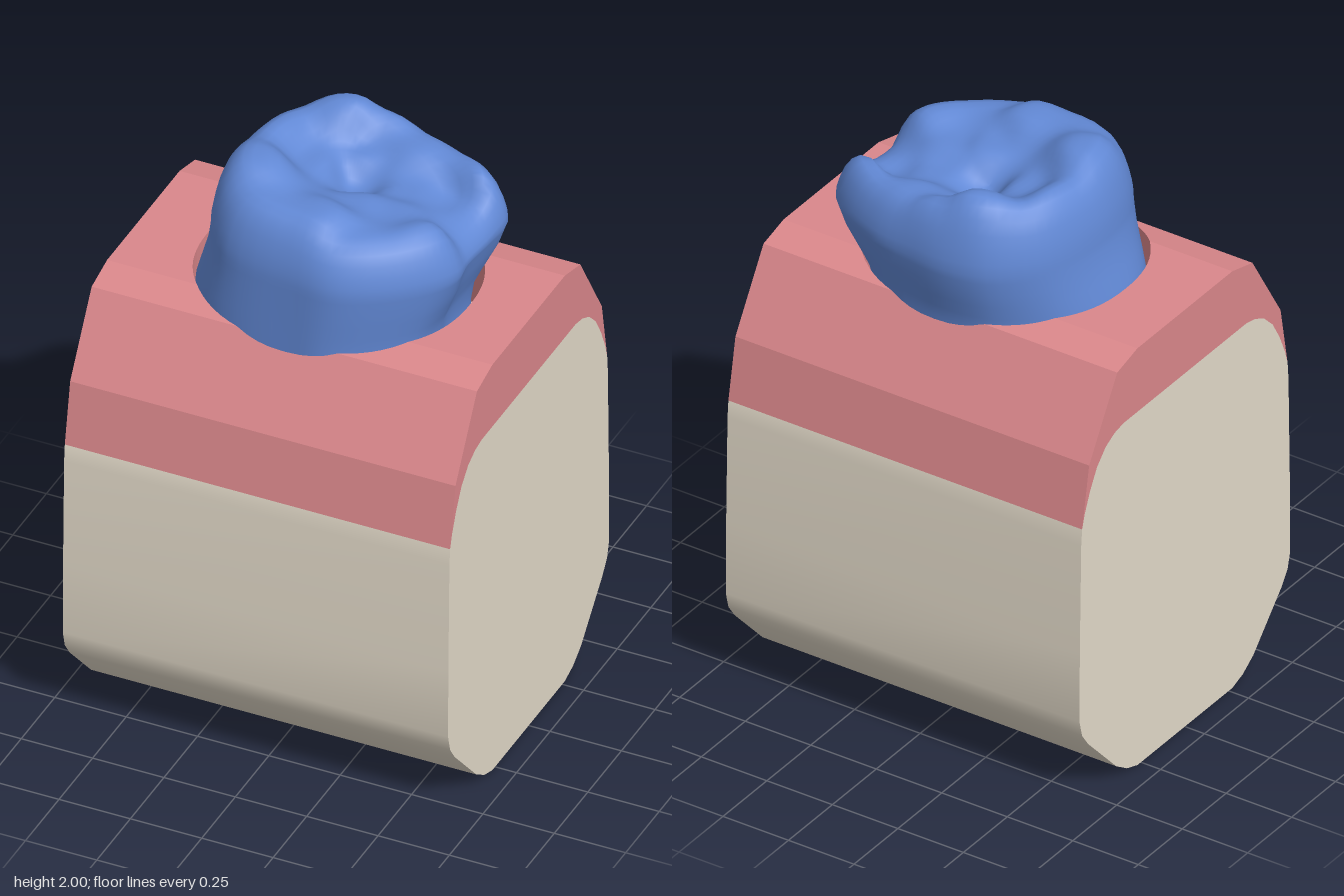
import * as THREE from 'three';
import { toCreasedNormals } from 'three/addons/utils/BufferGeometryUtils.js';

const HALF = 0.675; // half length of the jaw block along x
const TOP_GUM = [[0.585, 1.06], [0.545, 1.28], [0.385, 1.545], [0.27, 1.575]];
const BONE = [[0.27, 0], [0.33, 0.02], [0.39, 0.06], [0.55, 0.23], [0.585, 0.28], [0.6, 0.34], [0.598, 0.6],
  [0.59, 1.0], [0.585, 1.06], [0.57, 1.11], [0.54, 1.18], [0.5, 1.25], [0.45, 1.3], [0.4, 1.325], [0.35, 1.335]];

const mirror = (half) => [...half, ...half.map(([z, y]) => [-z, y]).reverse()];
const toShape = (pts) => new THREE.Shape(pts.map(([a, b]) => new THREE.Vector2(a, b)));

function mesh(name, geometry, material) {
  const m = new THREE.Mesh(geometry, material);
  m.name = name;
  return m;
}

// Socket opening in the gum: a rounded oval seen from above
const hole = { x: 0.01, rx: 0.46, rz: 0.405, p: 2.3 };
function holeHalfWidth(z) {
  const t = Math.min(1, Math.abs(z / hole.rz));
  return hole.rx * Math.pow(1 - Math.pow(t, hole.p), 1 / hole.p);
}

// Height of the gum surface at depth z
function gumHeight(z) {
  const a = Math.abs(z);
  for (let i = 0; i < 3; i++) {
    const [z0, y0] = TOP_GUM[i], [z1, y1] = TOP_GUM[i + 1];
    if (a >= z1) return y0 + (y1 - y0) * (z0 - a) / (z0 - z1);
  }
  return 1.575;
}

// Gum skin in strips from front to back, parted around the socket, plus the socket wall
function gumSkin() {
  const zs = mirror(TOP_GUM).map((p) => p[0]);
  for (let i = 0; i <= 40; i++) zs.push(hole.rz * Math.cos(Math.PI * i / 40));
  zs.sort((a, b) => b - a);
  const pos = [];
  const quad = (a, b, c, d) => pos.push(...a, ...b, ...c, ...a, ...c, ...d);
  for (let i = 0; i < zs.length - 1; i++) {
    const z0 = zs[i], z1 = zs[i + 1];
    if (z0 - z1 < 1e-5) continue;
    const y0 = gumHeight(z0), y1 = gumHeight(z1);
    const w0 = holeHalfWidth(z0), w1 = holeHalfWidth(z1);
    const l0 = hole.x - w0, l1 = hole.x - w1, r0 = hole.x + w0, r1 = hole.x + w1;
    quad([-HALF, y0, z0], [l0, y0, z0], [l1, y1, z1], [-HALF, y1, z1]);
    quad([r0, y0, z0], [HALF, y0, z0], [HALF, y1, z1], [r1, y1, z1]);
    if (w0 + w1 > 1e-6) {
      quad([l0, y0, z0], [l0, 1.3, z0], [l1, 1.3, z1], [l1, y1, z1]);
      quad([r0, 1.3, z0], [r0, y0, z0], [r1, y1, z1], [r1, 1.3, z1]);
    }
  }
  const g = new THREE.BufferGeometry();
  g.setAttribute('position', new THREE.Float32BufferAttribute(pos, 3));
  g.computeVertexNormals();
  return g;
}

// Tooth outlines from above (x, z), matching point for point
const CROWN = [[-0.385, 0.05], [-0.345, 0.2], [-0.23, 0.32], [0, 0.365], [0.15, 0.375], [0.28, 0.32], [0.42, 0.2],
  [0.475, 0.1], [0.465, 0], [0.48, -0.15], [0.485, -0.25], [0.43, -0.32], [0.25, -0.41], [0.1, -0.44],
  [-0.06, -0.455], [-0.2, -0.42], [-0.32, -0.3], [-0.375, -0.15]];
const NECK = [[-0.45, 0.05], [-0.4, 0.2], [-0.25, 0.32], [0, 0.365], [0.12, 0.37], [0.25, 0.31], [0.36, 0.2],
  [0.39, 0.08], [0.385, 0], [0.39, -0.12], [0.38, -0.2], [0.33, -0.27], [0.22, -0.35], [0.1, -0.38],
  [-0.06, -0.39], [-0.2, -0.36], [-0.35, -0.25], [-0.425, -0.12]];

// Cusps, ridges and pits of the chewing surface (x, z, height)
const RELIEF = [[-0.24, 0.08, 2.005], [-0.1, -0.33, 1.995], [-0.3, -0.15, 1.97], [0.02, -0.12, 1.8],
  [0.05, 0.2, 1.96], [0.1, 0.05, 1.9], [0.37, 0.13, 1.915], [0.22, 0.02, 1.88], [0.38, -0.28, 1.925],
  [0.33, -0.16, 1.82], [0.43, -0.05, 1.82], [0.15, -0.32, 1.91], [0.2, 0.28, 1.91], [-0.12, -0.1, 1.9],
  [-0.2, 0.28, 1.96], [0.2, -0.12, 1.85], [-0.01, -0.22, 1.88], [0.02, -0.42, 1.95]];
function crownHeight(x, z) {
  let sum = 0, total = 0;
  for (const [px, pz, h] of RELIEF) {
    const d = (x - px) ** 2 + (z - pz) ** 2 + 0.003;
    sum += h / (d * d);
    total += 1 / (d * d);
  }
  return sum / total;
}

function toothGeometry() {
  const SEG = 72;
  const ring = (pts) => new THREE.CatmullRomCurve3(pts.map(([x, z]) => new THREE.Vector3(x, 0, z)), true);
  const crown = ring(CROWN), neck = ring(NECK);
  const centre = new THREE.Vector3(0.03, 0, -0.06);
  const pos = [], index = [];
  let rows = 0;
  const addRow = (rule) => {
    for (let j = 0; j < SEG; j++) pos.push(...rule(neck.getPoint(j / SEG), crown.getPoint(j / SEG)));
    rows++;
  };
  // side wall: height, blend from neck to crown outline
  for (const [y, k] of [[1.25, -0.1], [1.45, 0], [1.52, 0.1], [1.57, 0.32], [1.62, 0.55], [1.67, 0.78], [1.72, 0.93]]) {
    addRow((n, c) => { const p = n.lerp(c, k); return [p.x, y, p.z]; });
  }
  // rounded shoulder, then the chewing surface: scale, share of the full height
  const steps = [[1, 0.12], [0.995, 0.28], [0.975, 0.46], [0.945, 0.65], [0.9, 0.82], [0.84, 0.94], [0.77, 1]];
  for (let s = 0.7; s > 0.03; s -= 0.06) steps.push([s, 1]);
  steps.push([0.001, 1]);
  for (const [s, f] of steps) {
    addRow((n, c) => {
      const p = centre.clone().lerp(c, s);
      return [p.x, 1.72 + f * (crownHeight(p.x, p.z) - 1.72), p.z];
    });
  }
  for (let i = 0; i < rows - 1; i++) {
    for (let j = 0; j < SEG; j++) {
      const k = (j + 1) % SEG;
      const a = i * SEG + j, b = i * SEG + k, c = b + SEG, d = a + SEG;
      index.push(a, b, c, a, c, d);
    }
  }
  const g = new THREE.BufferGeometry();
  g.setAttribute('position', new THREE.Float32BufferAttribute(pos, 3));
  g.setIndex(index);
  g.computeVertexNormals();
  return g;
}

export function createModel() {
  const bone = new THREE.MeshStandardMaterial({ color: 0xe3dac9 });
  bone.name = 'bone';
  const gum = new THREE.MeshStandardMaterial({ color: 0xda878b, side: THREE.DoubleSide });
  gum.name = 'gum pink';
  const enamel = new THREE.MeshStandardMaterial({ color: 0x6289d6 });
  enamel.name = 'tooth blue';

  const model = new THREE.Group();
  model.name = 'toothInJawSection';

  // Jaw bone block
  const boneGeo = new THREE.ExtrudeGeometry(toShape(mirror(BONE)), { depth: 2 * HALF, bevelEnabled: false });
  boneGeo.translate(0, 0, -HALF).rotateY(Math.PI / 2);
  model.add(mesh('jawBone', toCreasedNormals(boneGeo, 0.6), bone));

  // Gum: skin over the bone and the two cut ends
  const gumGroup = new THREE.Group();
  gumGroup.name = 'gum';
  gumGroup.add(mesh('gumSkin', gumSkin(), gum));
  const boneTop = mirror(BONE.slice(8)).reverse();
  const endShape = toShape([...mirror(TOP_GUM), ...boneTop.slice(1, -1)]);
  for (const side of [1, -1]) {
    const end = mesh(side > 0 ? 'gumEndLeft' : 'gumEndRight', new THREE.ShapeGeometry(endShape), gum);
    end.rotation.y = side * Math.PI / 2;
    end.position.x = side * HALF;
    gumGroup.add(end);
  }
  model.add(gumGroup);

  // Molar
  model.add(mesh('tooth', toothGeometry(), enamel));
  return model;
}
